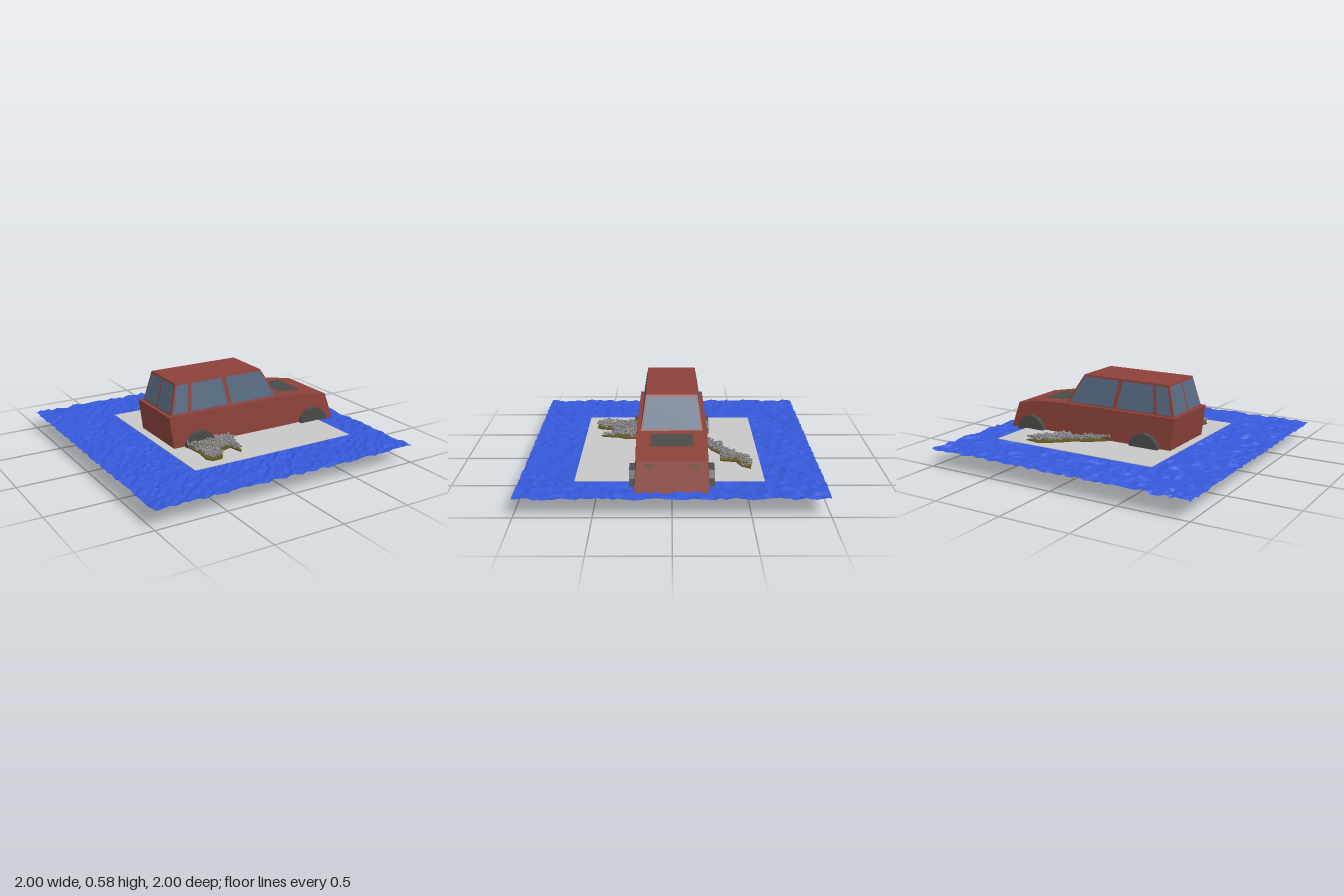
import * as THREE from 'three';
import { mergeGeometries } from 'three/addons/utils/BufferGeometryUtils.js';
import { ConvexGeometry } from 'three/addons/geometries/ConvexGeometry.js';

const mat = (name, color, extra = {}) => {
  const m = new THREE.MeshStandardMaterial({ color, flatShading: true, ...extra });
  m.name = name;
  return m;
};

// Seeded random numbers
function makeRandom(seed) {
  return () => {
    seed = (seed * 1664525 + 1013904223) % 4294967296;
    return seed / 4294967296;
  };
}

// Thin four-cornered panel
function panel(corners) {
  const g = new THREE.BufferGeometry();
  g.setAttribute('position', new THREE.Float32BufferAttribute(corners.flat(), 3));
  g.setIndex([0, 1, 2, 0, 2, 3]);
  g.computeVertexNormals();
  return g;
}

// Convex solid mirrored across z from [x, y, halfWidth] points
function mirroredSolid(points) {
  return new ConvexGeometry(points.flatMap(([x, y, w]) =>
    [new THREE.Vector3(x, y, w), new THREE.Vector3(x, y, -w)]));
}

function insidePolygon(x, z, poly) {
  let inside = false;
  for (let i = 0, j = poly.length - 1; i < poly.length; j = i++) {
    const [xi, zi] = poly[i], [xj, zj] = poly[j];
    if ((zi > z) !== (zj > z) && x < ((xj - xi) * (z - zi)) / (zj - zi) + xi) inside = !inside;
  }
  return inside;
}

export function createModel() {
  const model = new THREE.Group();
  const paint = mat('bodyPaint', 0x8c423a);
  const glass = mat('glass', 0x566a82, { side: THREE.DoubleSide });
  const rubber = mat('tyreGrey', 0x4a4a48);
  const hoodGrey = mat('hoodPanelGrey', 0x4a4a48, { side: THREE.DoubleSide });
  const lampOlive = mat('lampOlive', 0x6b4a26, { side: THREE.DoubleSide });
  const water = mat('waterBlue', 0x3558d8, { side: THREE.DoubleSide });
  const slabGrey = mat('slabGrey', 0xc8c8c8);
  const stone = mat('pebbleGrey', 0x808080);
  const soil = mat('soilOlive', 0x62561e);

  const add = (name, geometry, material, parent = model) => {
    const mesh = new THREE.Mesh(geometry, material);
    mesh.name = name;
    parent.add(mesh);
    return mesh;
  };

  // Choppy water sheet
  const rnd = makeRandom(7);
  const sea = new THREE.PlaneGeometry(2, 2, 60, 60).rotateX(-Math.PI / 2);
  const sp = sea.attributes.position;
  for (let i = 0; i < sp.count; i++) sp.setY(i, 0.117 + 0.019 * rnd());
  sea.computeVertexNormals();
  add('water', sea, water);

  // Ground slab
  add('slab', new THREE.BoxGeometry(1.26, 0.004, 1.235).translate(0.113, 0.137, 0.015), slabGrey);

  // Car
  const car = new THREE.Group();
  car.name = 'car';
  model.add(car);
  add('lowerBody', mirroredSolid([
    [-0.455, 0.108, 0.24], [0.41, 0.108, 0.247], [0.905, 0.108, 0.24],
    [-0.49, 0.365, 0.235], [0.41, 0.365, 0.24], [0.65, 0.35, 0.234], [0.835, 0.316, 0.226],
  ]), paint, car);

  const belt = 0.36, roof = 0.58;
  add('cabin', mirroredSolid([
    [-0.465, belt, 0.21], [0.415, belt, 0.21], [-0.41, roof, 0.176], [0.275, roof, 0.176],
  ]), paint, car);

  const at = (y, low, high) => low + (high - low) * (y - belt) / (roof - belt);
  const y0 = 0.374, y1 = 0.566;

  // Side windows: x at lower rear, lower front, upper front, upper rear
  const sideWindows = {
    quarterWindow: [-0.446, -0.337, -0.312, -0.402],
    rearDoorWindow: [-0.305, -0.012, -0.05, -0.29],
    frontDoorWindow: [0.022, 0.385, 0.272, -0.016],
  };
  for (const s of [1, -1]) {
    for (const [name, xs] of Object.entries(sideWindows)) {
      add(name, panel(xs.map((x, i) => {
        const y = i < 2 ? y0 : y1;
        return [x, y, s * (at(y, 0.21, 0.176) + 0.003)];
      })), glass, car);
    }
  }

  // Windscreen and the split rear window
  const endWindow = (name, low, high, offset, in0, in1) => {
    const edge = (y, k) => [at(y, low, high) + offset, y, k];
    const w0 = at(y0, 0.198, 0.164), w1 = at(y1, 0.198, 0.164);
    add(name, panel([
      edge(y0, in0 * w0), edge(y0, in1 * w0), edge(y1, in1 * w1), edge(y1, in0 * w1),
    ]), glass, car);
  };
  endWindow('windscreen', 0.415, 0.275, 0.004, -1, 1);
  endWindow('rearWindow', -0.465, -0.41, -0.003, -1, -0.05);
  endWindow('rearWindow', -0.465, -0.41, -0.003, 0.05, 1);

  // Dark bonnet panel, folded along the bonnet crease
  const hoodY = (x) => (x < 0.65 ? 0.365 - (x - 0.41) * 0.0625 : 0.35 - (x - 0.65) * 0.184) + 0.003;
  for (const [a, b] of [[0.475, 0.65], [0.65, 0.672]]) {
    add('bonnetPanel', panel([
      [a, hoodY(a), 0.14], [b, hoodY(b), 0.14], [b, hoodY(b), -0.14], [a, hoodY(a), -0.14],
    ]), hoodGrey, car);
  }

  // Headlamps on the sloping nose
  const noseX = (y) => 0.905 - (y - 0.108) * 0.3365 + 0.003;
  for (const s of [1, -1]) {
    add('headlamp', panel([
      [noseX(0.272), 0.272, s * 0.11], [noseX(0.272), 0.272, s * 0.175],
      [noseX(0.296), 0.296, s * 0.178], [noseX(0.296), 0.296, s * 0.112],
    ]), lampOlive, car);
  }

  // Wheels
  const tyre = new THREE.CylinderGeometry(0.12, 0.12, 0.07, 12).rotateX(Math.PI / 2);
  for (const x of [-0.263, 0.7]) {
    for (const s of [1, -1]) add('wheel', tyre, rubber, car).position.set(x, 0.12, s * 0.241);
  }

  // Pebble heaps over ragged soil patches
  const heaps = [
    [[-0.375, 0.25], [-0.03, 0.24], [-0.03, 0.33], [-0.06, 0.38], [-0.08, 0.5], [-0.1, 0.52],
      [-0.12, 0.42], [-0.23, 0.45], [-0.24, 0.52], [-0.27, 0.56], [-0.34, 0.56], [-0.37, 0.52], [-0.355, 0.4]],
    [[0.02, -0.25], [0.08, -0.3], [0.15, -0.36], [0.22, -0.38], [0.3, -0.46], [0.42, -0.55], [0.54, -0.53],
      [0.5, -0.47], [0.42, -0.44], [0.4, -0.33], [0.28, -0.34], [0.2, -0.28], [0.1, -0.25]],
  ];
  const step = 0.0105;
  for (const poly of heaps) {
    const shape = new THREE.Shape(poly.map(([x, z]) => new THREE.Vector2(x, z)));
    add('soilPatch', new THREE.ExtrudeGeometry(shape, { depth: 0.034, bevelEnabled: false })
      .rotateX(Math.PI / 2).translate(0, 0.146, 0), soil);
    const pebbles = [];
    for (let x = -0.4; x < 0.56; x += step) {
      for (let z = -0.58; z < 0.58; z += step) {
        const px = x + (rnd() - 0.5) * step, pz = z + (rnd() - 0.5) * step;
        if (!insidePolygon(px, pz, poly)) continue;
        const bump = 0.5 + 0.5 * Math.sin(px * 31 + 1) * Math.cos(pz * 27);
        const y = 0.148 + 0.022 * bump + 0.022 * rnd();
        pebbles.push(new THREE.IcosahedronGeometry(0.006 + 0.003 * rnd(), 0)
          .rotateY(rnd() * 6).translate(px, y, pz));
      }
    }
    add('pebbles', mergeGeometries(pebbles), stone);
  }
  return model;
}
